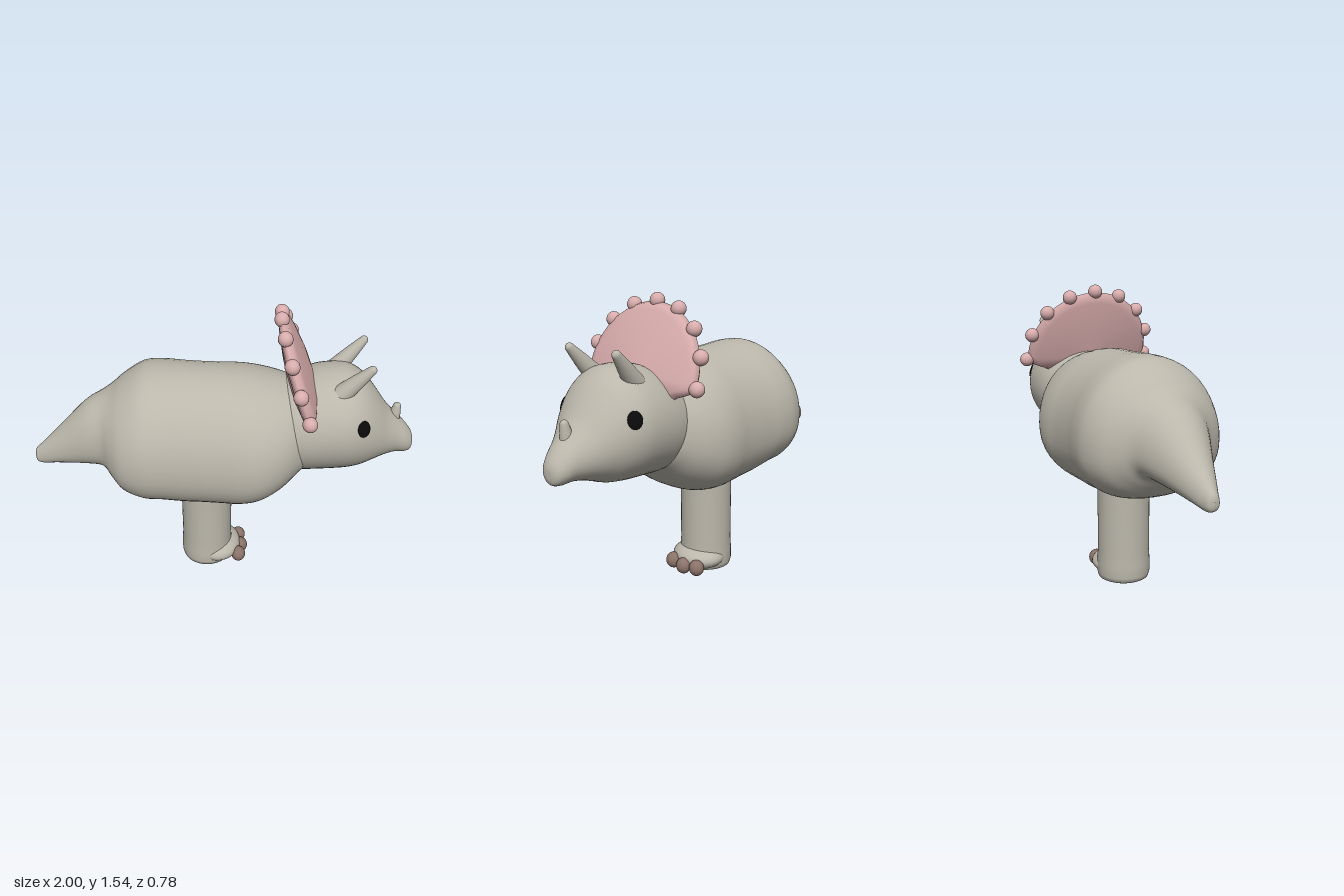
import * as THREE from 'three';

const mat = (name, color) => {
  const m = new THREE.MeshStandardMaterial({ color });
  m.name = name;
  return m;
};

// Smooth skin along x through stations [x, bottom, top, halfWidth]; sections are egg shaped
function loft(stations, belly, power, sides = 48) {
  const curveA = new THREE.CatmullRomCurve3(stations.map(s => new THREE.Vector3(s[0], s[1], s[2])));
  const curveB = new THREE.CatmullRomCurve3(stations.map(s => new THREE.Vector3(s[0], s[3], 0)));
  curveA.curveType = curveB.curveType = 'catmullrom';
  const rows = (stations.length - 1) * 4, pos = [], idx = [];
  for (let i = 0; i <= rows; i++) {
    const a = curveA.getPoint(i / rows), w = Math.max(0, curveB.getPoint(i / rows).y);
    const [x, bot, top] = a.toArray(), mid = bot + (top - bot) * belly;
    for (let j = 0; j < sides; j++) {
      const t = j / sides * Math.PI * 2, c = Math.cos(t), s = Math.sin(t);
      const e = c < 0 ? 2 / power : 1;
      const y = c < 0 ? mid - Math.pow(-c, e) * (mid - bot) : mid + c * (top - mid);
      pos.push(x, y, Math.sign(s) * Math.pow(Math.abs(s), e) * w);
      if (i < rows) {
        const k = i * sides + j, n = i * sides + (j + 1) % sides;
        idx.push(k, n, k + sides, n, n + sides, k + sides);
      }
    }
  }
  const g = new THREE.BufferGeometry();
  g.setAttribute('position', new THREE.Float32BufferAttribute(pos, 3));
  g.setIndex(idx);
  g.computeVertexNormals();
  return g;
}

// Round-tipped cone
function hornGeometry(r0, r1, len) {
  const pts = [new THREE.Vector2(r0, 0), new THREE.Vector2((r0 + r1) / 2, len * 0.5)];
  for (let i = 0; i <= 6; i++) {
    const a = i / 6 * Math.PI / 2;
    pts.push(new THREE.Vector2(r1 * Math.cos(a), len - r1 + r1 * Math.sin(a)));
  }
  return new THREE.LatheGeometry(pts, 24);
}

export function createModel() {
  const root = new THREE.Group();
  const skin = mat('skin', 0xbbb7ab), pink = mat('frillPink', 0xd8acac);
  const brown = mat('toeBrown', 0x8a7268), black = mat('eyeBlack', 0x0a0a0a);
  pink.side = THREE.DoubleSide;

  const add = (name, geo, material, p = [0, 0, 0], s = [1, 1, 1]) => {
    const m = new THREE.Mesh(geo, material);
    m.name = name;
    m.position.set(...p);
    m.scale.set(...s);
    root.add(m);
    return m;
  };
  const ball = new THREE.SphereGeometry(1, 28, 20);

  // Body and tail in one skin
  add('bodyAndTail', loft([
    [-1, 0.69, 0.71, 0], [-0.99, 0.665, 0.74, 0.028], [-0.96, 0.655, 0.77, 0.043],
    [-0.88, 0.668, 0.85, 0.078], [-0.8, 0.678, 0.935, 0.112], [-0.7, 0.69, 1.035, 0.158],
    [-0.61, 0.695, 1.088, 0.205], [-0.56, 0.645, 1.12, 0.265], [-0.5, 0.585, 1.17, 0.325],
    [-0.4, 0.547, 1.233, 0.366], [-0.3, 0.538, 1.243, 0.368], [-0.2, 0.52, 1.238, 0.358],
    [-0.1, 0.513, 1.232, 0.355], [0, 0.508, 1.228, 0.358], [0.1, 0.51, 1.222, 0.369],
    [0.2, 0.535, 1.205, 0.363], [0.3, 0.597, 1.18, 0.325], [0.38, 0.67, 1.15, 0.265],
    [0.46, 0.75, 1.08, 0.18], [0.5, 0.9, 0.92, 0],
  ], 0.42, 2.3), skin);

  // Head with beak
  add('head', loft([
    [0.22, 0.93, 0.97, 0], [0.26, 0.78, 1.12, 0.17], [0.32, 0.7, 1.17, 0.24],
    [0.4, 0.68, 1.205, 0.265], [0.5, 0.684, 1.235, 0.275], [0.6, 0.69, 1.243, 0.274],
    [0.66, 0.695, 1.23, 0.262], [0.72, 0.706, 1.188, 0.235], [0.78, 0.728, 1.115, 0.195],
    [0.84, 0.747, 1.03, 0.147], [0.9, 0.755, 0.968, 0.104], [0.95, 0.751, 0.918, 0.08],
    [0.985, 0.758, 0.872, 0.055], [0.998, 0.782, 0.84, 0.026], [1, 0.805, 0.82, 0],
  ], 0.5, 2), skin);

  // Lens-shaped frill fan, drawn in towards the neck at both ends
  const frill = new THREE.Group();
  frill.name = 'frill';
  frill.position.set(0.405, 1.17, 0);
  frill.rotation.z = 0.34;
  root.add(frill);
  const profile = [[0, -0.065], [0.18, -0.052], [0.3, -0.032], [0.335, -0.022], [0.35, 0],
    [0.335, 0.022], [0.3, 0.032], [0.18, 0.052], [0, 0.065]].map(p => new THREE.Vector2(...p));
  const fan = new THREE.LatheGeometry(profile, 72, -1.98, 3.96);
  const fp = fan.attributes.position;
  for (let i = 0; i < fp.count; i++) {
    const phi = Math.abs(Math.atan2(fp.getX(i), fp.getZ(i)));
    const k = 1 - 0.28 * THREE.MathUtils.smoothstep(phi, 1.65, 1.98);
    fp.setX(i, fp.getX(i) * k);
    fp.setZ(i, fp.getZ(i) * k);
  }
  fan.applyMatrix4(new THREE.Matrix4().makeBasis(
    new THREE.Vector3(0, 0, 1), new THREE.Vector3(1, 0, 0), new THREE.Vector3(0, 1, 0)));
  fan.computeVertexNormals();
  const fanMesh = new THREE.Mesh(fan, pink);
  fanMesh.name = 'frillFan';
  frill.add(fanMesh);

  // Knobs round the frill edge
  for (let i = -4; i <= 4; i++) {
    const a = i * 0.415;
    const knob = new THREE.Mesh(ball, pink);
    knob.name = 'frillKnob';
    knob.position.set(0, 0.355 * Math.cos(a), 0.355 * Math.sin(a));
    knob.scale.set(0.036, 0.038, 0.038);
    frill.add(knob);
  }

  // Brow horns and eyes, mirrored
  const up = new THREE.Vector3(0, 1, 0);
  const browHorn = hornGeometry(0.05, 0.022, 0.22);
  for (const s of [-1, 1]) {
    const h = add('browHorn', browHorn, skin, [0.585, 1.17, 0.13 * s]);
    h.quaternion.setFromUnitVectors(up, new THREE.Vector3(0.145, 0.163, 0.024 * s).normalize());
    const eye = add('eye', ball, black, [0.695, 1.035, 0.236 * s], [0.036, 0.042, 0.009]);
    eye.lookAt(0.695 + 0.45, 1.035 + 0.3, (0.236 + 0.85) * s);
  }

  // Nose horn
  const nose = add('noseHorn', hornGeometry(0.034, 0.02, 0.1), skin, [0.885, 0.94, 0]);
  nose.rotation.z = -0.15;

  // Single central leg, foot and toes
  const legProfile = [[0, 0.005], [0.115, 0.005], [0.135, 0.015], [0.142, 0.04], [0.142, 0.1],
    [0.138, 0.16], [0.138, 0.46], [0.138, 0.6]].map(p => new THREE.Vector2(...p));
  add('leg', new THREE.LatheGeometry(legProfile, 40), skin, [-0.085, 0, 0]);
  add('foot', ball, skin, [-0.025, 0.075, 0], [0.13, 0.07, 0.15]);
  for (const z of [-0.082, 0, 0.082])
    add('toe', ball, brown, [z ? 0.095 : 0.107, z ? 0.054 : 0.048, z], [0.04, 0.044, 0.042]);

  return root;
}
